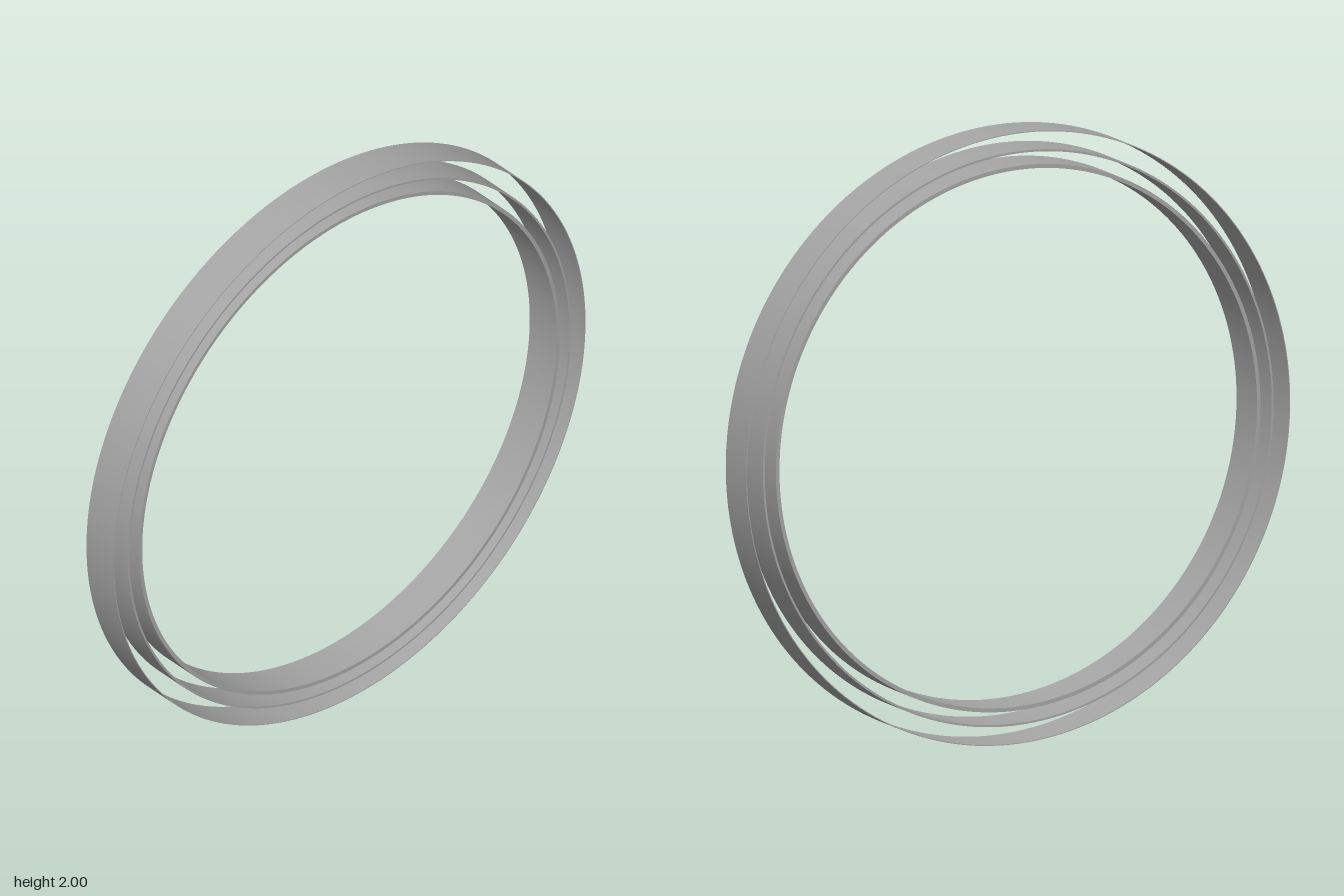
import * as THREE from 'three';

const DEPTH = 0.13;
const SEGMENTS = 192;

export function createModel() {
  const group = new THREE.Group();
  group.name = 'concentricHoops';
  const material = new THREE.MeshStandardMaterial({ color: 0xa6a6a6, side: THREE.DoubleSide });

  const addPart = (parent, name, geometry) => {
    const mesh = new THREE.Mesh(geometry, material);
    mesh.name = name;
    parent.add(mesh);
  };

  // Open cylindrical wall running along z
  const wall = (radius) =>
    new THREE.CylinderGeometry(radius, radius, DEPTH, SEGMENTS, 1, true).rotateX(Math.PI / 2);

  // Thin hoop with walls on both sides and flat rims front and back
  const addHoop = (name, inner, outer) => {
    const hoop = new THREE.Group();
    hoop.name = name;
    hoop.position.y = 1;
    addPart(hoop, 'outerWall', wall(outer));
    addPart(hoop, 'innerWall', wall(inner));
    const rim = new THREE.RingGeometry(inner, outer, SEGMENTS);
    addPart(hoop, 'frontRim', rim.clone().translate(0, 0, DEPTH / 2));
    addPart(hoop, 'backRim', rim.clone().rotateY(Math.PI).translate(0, 0, -DEPTH / 2));
    group.add(hoop);
  };

  addHoop('outerBand', 0.997, 1);
  addHoop('middleBand', 0.932, 0.939);
  addHoop('innerBand', 0.878, 0.891);
  return group;
}
